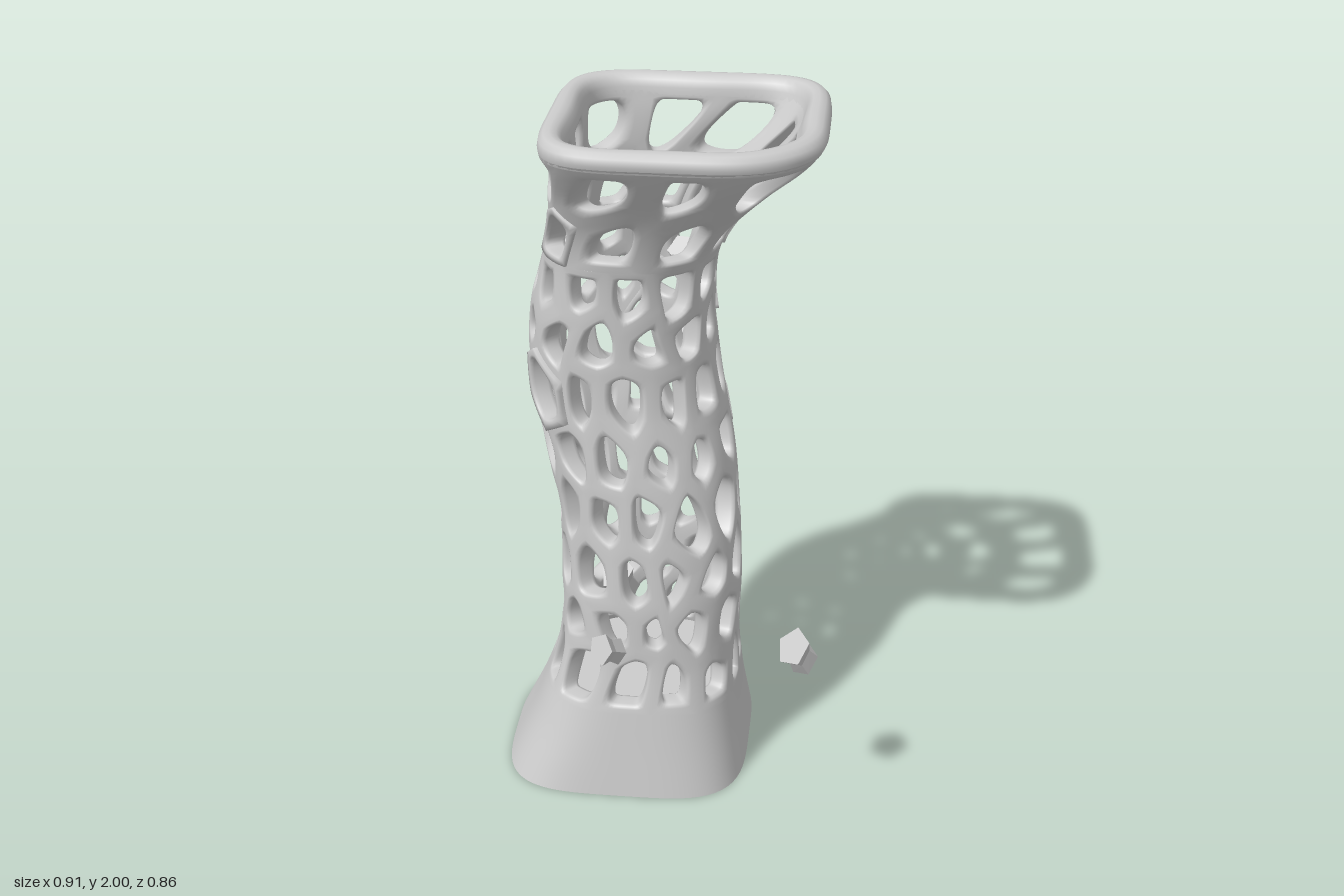
import * as THREE from 'three';
import { mergeVertices, mergeGeometries } from 'three/addons/utils/BufferGeometryUtils.js';

const grey = new THREE.MeshStandardMaterial({ color: 0xcccccc, side: THREE.DoubleSide });
const stone = new THREE.MeshStandardMaterial({ color: 0xcccccc, flatShading: true });

let seed = 11;
const rand = () => {
  seed = (seed * 16807) % 2147483647;
  return seed / 2147483647;
};
const jitter = (a) => (rand() - 0.5) * 2 * a;

// Column sections: height, then x min, x max, z min, z max, squareness
const sections = [
  [0, -0.46, 0.245, -0.435, 0.28, 3.8],
  [0.2, -0.37, 0.22, -0.365, 0.25, 3.1],
  [0.4, -0.31, 0.21, -0.305, 0.225, 2.6],
  [0.6, -0.3, 0.215, -0.29, 0.225, 2.4],
  [0.8, -0.305, 0.205, -0.295, 0.215, 2.3],
  [1.0, -0.345, 0.185, -0.33, 0.2, 2.2],
  [1.2, -0.385, 0.145, -0.37, 0.182, 2.2],
  [1.4, -0.38, 0.125, -0.375, 0.185, 2.3],
  [1.6, -0.33, 0.145, -0.33, 0.205, 2.5],
  [1.7, -0.31, 0.2, -0.31, 0.24, 2.8],
  [1.8, -0.298, 0.285, -0.292, 0.3, 3.4],
  [1.9, -0.293, 0.38, -0.285, 0.385, 4.2],
  [1.96, -0.296, 0.422, -0.288, 0.428, 4.6],
  [2, -0.298, 0.425, -0.29, 0.432, 4.6],
];
const spline = new THREE.CubicInterpolant(
  sections.map((s) => s[0]), sections.flatMap((s) => s.slice(1)), 5, new Float32Array(5));

const wall = (y) => 0.06 + 0.012 * THREE.MathUtils.smoothstep(y, 1.6, 1.95);

// Point on the column: u runs round it, y up, d is the depth below the surface
function point(u, y, d = 0) {
  const [x0, x1, z0, z1, square] = spline.evaluate(y);
  const angle = -u * Math.PI * 2;
  const c = Math.cos(angle), s = Math.sin(angle);
  const lean = Math.max(0, (y - 1) * Math.cos(angle - Math.PI / 4));
  const n = square * (1 - 0.4 * lean ** 3);
  const r = (Math.abs(c / ((x1 - x0) / 2)) ** n + Math.abs(s / ((z1 - z0) / 2)) ** n) ** (-1 / n) - d;
  return [(x0 + x1) / 2 + c * r, y, (z0 + z1) / 2 + s * r];
}

// Joins closed rings of points into a surface
function strip(rings) {
  const n = rings[0].length, index = [];
  for (let k = 0; k < rings.length - 1; k++) {
    for (let i = 0; i < n; i++) {
      const a = k * n + i, b = k * n + (i + 1) % n;
      index.push(a, b, a + n, a + n, b, b + n);
    }
  }
  const geo = new THREE.BufferGeometry();
  geo.setAttribute('position', new THREE.Float32BufferAttribute(rings.flat(2), 3));
  geo.setIndex(index);
  return geo;
}

function smooth(geo) {
  const merged = mergeVertices(geo, 1e-4);
  merged.computeVertexNormals();
  return merged;
}

const loop = (y, d) => Array.from({ length: 104 }, (_, i) => point(i / 104, y, d));
const centre = (y) => {
  const [x0, x1, z0, z1] = spline.evaluate(y);
  const p = [(x0 + x1) / 2, y, (z0 + z1) / 2];
  return Array.from({ length: 104 }, () => p);
};

// One cell: from its border over the rounded lip, through the hole and along the inside
function cell(corners, size, lift) {
  const n = corners.length, steps = 6, border = [], hole = [];
  const mix = (a, b, t) => [a[0] + (b[0] - a[0]) * t, a[1] + (b[1] - a[1]) * t];
  const mid = corners.reduce((m, p) => [m[0] + p[0] / n, m[1] + p[1] / n], [0, 0]);
  corners.forEach((p, i) => {
    const before = mix(corners[(i + n - 1) % n], p, 0.5);
    const after = mix(p, corners[(i + 1) % n], 0.5);
    for (let k = 0; k < steps; k++) {
      const t = k / steps;
      // border goes through the corner, hole rounds it off
      border.push(t < 0.5 ? mix(before, p, t * 2) : mix(p, after, t * 2 - 1));
      const q = mix(mix(before, p, t), mix(p, after, t), t);
      hole.push([mid[0] + (q[0] - mid[0]) * size * 0.93, mid[1] + (q[1] - mid[1]) * size]);
    }
  });
  const profile = [[0, 0], [0.55, 0], [0.86, 0.03], [1, 0.2], [1, 0.8], [0.86, 0.97], [0.55, 1], [0, 1]];
  if (lift) profile.push([0, 0]);
  return strip(profile.map(([f, d]) => border.map((b, i) => {
    const [u, y] = mix(b, hole[i], f);
    return point(u, y, d * wall(y) - lift);
  })));
}

// Band of staggered, uneven six-sided cells between the given heights
function lattice(heights, count, start, lift, lifted) {
  const last = heights.length - 1;
  const nodes = heights.map((y, r) => Array.from({ length: count * 2 }, (_, j) => {
    const end = r === 0 || r === last;
    const zig = (j + r) % 2 ? -0.026 : 0.026;
    return [start + j / (count * 2) + jitter(0.2 / count), end ? y : y + zig + jitter(0.026)];
  }));
  const node = (r, j) => {
    const [u, y] = nodes[r][j % (count * 2)];
    return [u + Math.floor(j / (count * 2)), y];
  };
  const cells = [];
  for (let r = 0; r < last; r++) {
    for (let c = 0; c < count; c++) {
      const j = c * 2 + (r % 2);
      const corners = [node(r, j), node(r, j + 1), node(r, j + 2),
        node(r + 1, j + 2), node(r + 1, j + 1), node(r + 1, j)];
      const size = 0.46 + 0.32 * rand() ** 0.6;
      cells.push(cell(corners, size, lifted(r, c) ? lift : 0));
    }
  }
  return smooth(mergeGeometries(cells));
}

// Broken strut piece: five-sided, narrow in the middle
function fragment(name, [x, y, z], radius, length, turn) {
  const geo = new THREE.CylinderGeometry(radius, radius * 0.85, length, 5, 2);
  const pos = geo.attributes.position;
  for (let i = 0; i < pos.count; i++) {
    const px = pos.getX(i), py = pos.getY(i), pz = pos.getZ(i);
    const k = 0.75 + 0.25 * Math.abs(py * 2 / length);
    pos.setXYZ(i, px * k + py * 0.15, py + px * 0.2, pz * k);
  }
  geo.computeVertexNormals();
  const mesh = new THREE.Mesh(geo, stone);
  mesh.name = name;
  mesh.position.set(x, y, z);
  mesh.rotation.set(...turn);
  return mesh;
}

export function createModel() {
  const group = new THREE.Group();
  const add = (name, geo) => {
    const mesh = new THREE.Mesh(geo, grey);
    mesh.name = name;
    group.add(mesh);
  };

  // Solid flared foot
  add('foot', smooth(strip([0, 0.05, 0.1, 0.15, 0.2, 0.26].map((y) => loop(y, 0)))));
  add('footUnderside', smooth(strip([centre(0), loop(0, 0)])));
  add('innerFloor', smooth(strip([loop(0.26, 0), centre(0.26)])));

  // Perforated shaft, with a few plates cracked loose
  add('shaft', lattice([0.26, 0.44, 0.6, 0.77, 0.95, 1.12, 1.3, 1.45, 1.6], 13, 0, 0.012,
    (r, c) => (r > 3 && r < 7 && c > 0 && c < 3) || (r === 5 && c === 7)));

  // Flared collar with larger openings, one centred on the leaning corner
  add('collar', lattice([1.6, 1.765, 1.955], 10, 0.075, 0.007, (r, c) => r === 0 && c % 4 === 1));

  // Rounded rim
  add('rim', smooth(strip([[1.945, 0], [1.965, 0], [1.984, 0.005], [1.996, 0.018], [2, 0.036],
    [1.996, 0.054], [1.984, 0.067], [1.965, 0.072], [1.945, 0.072]].map(([y, d]) => loop(y, d)))));

  // Loose fragments outside and inside the column
  group.add(
    fragment('looseFragment', [0.4, 0.56, 0.33], 0.055, 0.09, [0.5, 0.3, 0.5]),
    fragment('looseFragment', [-0.13, 0.5, 0.28], 0.046, 0.1, [0.9, 0.2, 0.5]),
    fragment('innerFragment', [-0.13, 0.56, 0], 0.055, 0.12, [0.6, 0.4, 0.3]),
    fragment('innerFragment', [-0.06, 0.5, 0.04], 0.045, 0.1, [1.2, 0.2, 0.7]),
    fragment('innerFragment', [0.06, 1.5, -0.1], 0.045, 0.1, [0.4, 0.8, 1.2]),
    fragment('innerFragment', [0.13, 1.64, -0.14], 0.045, 0.1, [1.1, 0.3, 0.4]),
    fragment('sideFragment', [0.05, 1.22, -0.27], 0.042, 0.11, [0.3, 0.5, 0.2]),
    fragment('sideFragment', [0.02, 1.44, -0.29], 0.042, 0.11, [0.2, 0.9, 0.4]),
  );
  return group;
}
